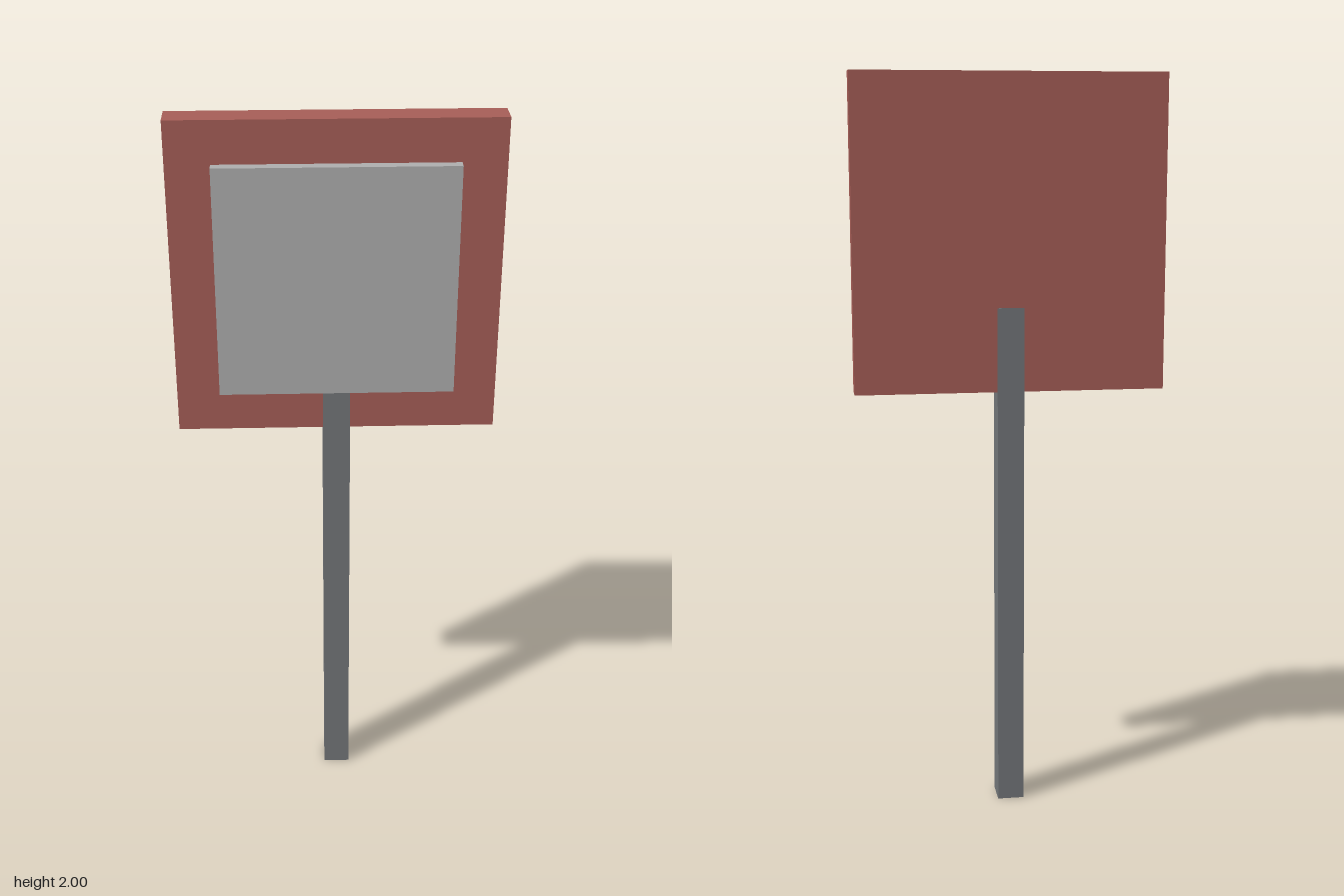
import * as THREE from 'three';

// Box given by its min and max corners
function slab(name, color, min, max) {
  const size = max.map((v, i) => v - min[i]);
  const mesh = new THREE.Mesh(
    new THREE.BoxGeometry(...size),
    new THREE.MeshStandardMaterial({ color })
  );
  mesh.name = name;
  mesh.position.set(...max.map((v, i) => (v + min[i]) / 2));
  return mesh;
}

export function createModel() {
  const group = new THREE.Group();
  group.name = 'signPost';
  group.add(
    // square post, a hair proud of the board it is let into
    slab('post', 0x75787b, [-0.036, 0, -0.053], [0.036, 1.39, 0.023]),
    // square board
    slab('board', 0xa85f58, [-0.417, 1.165, -0.052], [0.417, 2, 0.022]),
    // raised face plate
    slab('facePlate', 0xb0b0b0, [-0.305, 1.28, 0.02], [0.305, 1.89, 0.05])
  );
  return group;
}
